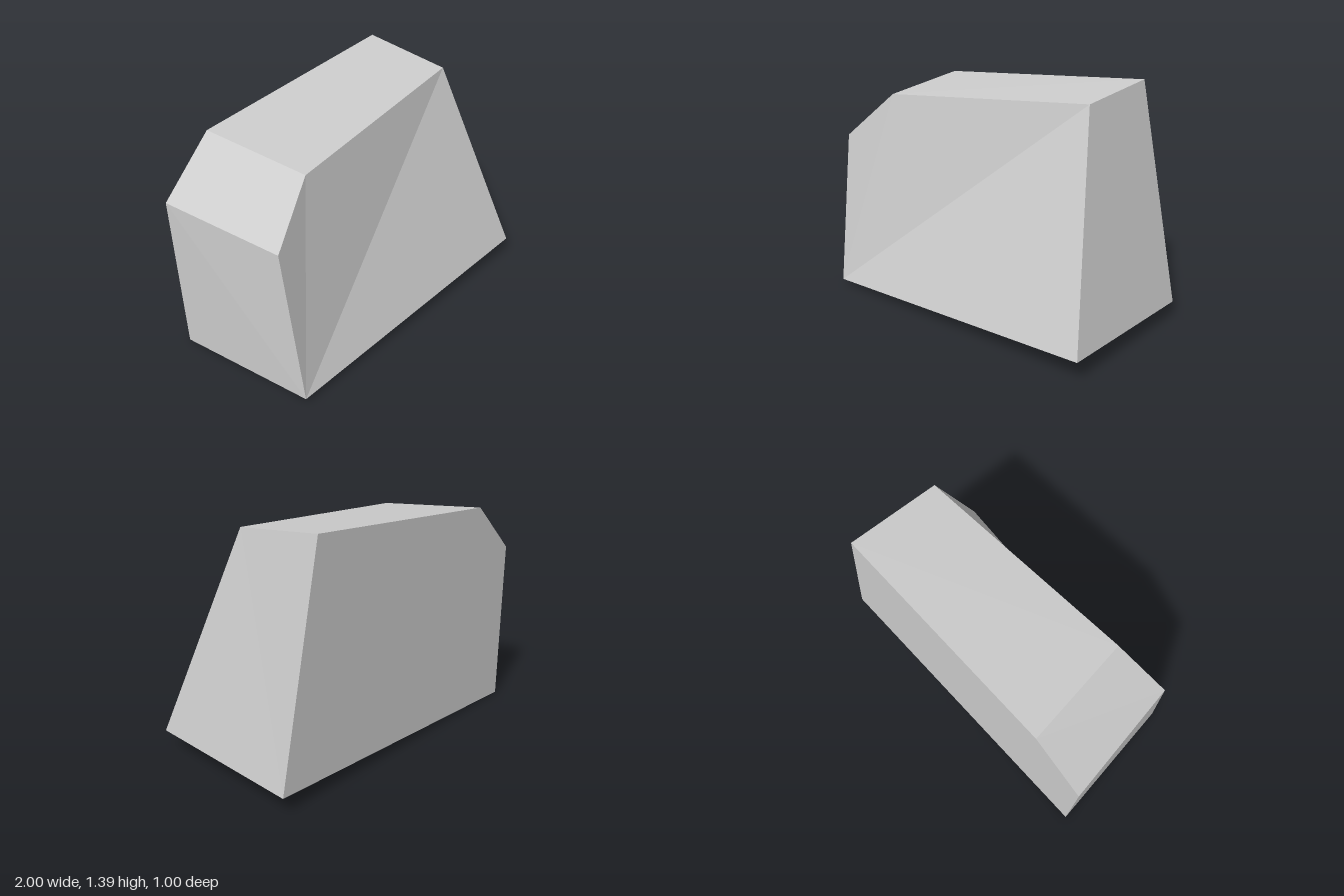
import * as THREE from 'three';

export function createModel() {
  const group = new THREE.Group();
  const grey = new THREE.MeshStandardMaterial({ color: 0xcccccc });
  grey.name = 'plain grey';

  // Matching five-sided outlines, counter-clockwise from the lower right-hand corner of the model
  const back = [[-0.985, 0, -0.5], [1, 0.097, -0.5], [0.73, 1.392, -0.5], [-0.672, 1.3, -0.5], [-1, 1, -0.5]];
  const front = [[-0.903, 0.03, 0.375], [0.96, 0.118, 0.5], [0.715, 1.336, 0.062], [-0.607, 1.25, 0.157], [-0.916, 0.97, 0.248]];

  const positions = [];
  const triangle = (a, b, c) => positions.push(...a, ...b, ...c);

  // Sloping front and flat back, as fans from the first corner
  for (let i = 1; i < front.length - 1; i++) {
    triangle(front[0], front[i], front[i + 1]);
    triangle(back[0], back[i + 1], back[i]);
  }
  // Tapering sides
  for (let i = 0; i < back.length; i++) {
    const j = (i + 1) % back.length;
    triangle(back[i], back[j], front[j]);
    triangle(back[i], front[j], front[i]);
  }

  const geometry = new THREE.BufferGeometry();
  geometry.setAttribute('position', new THREE.Float32BufferAttribute(positions, 3));
  geometry.computeVertexNormals(); // unshared corners keep every facet flat
  const block = new THREE.Mesh(geometry, grey);
  block.name = 'taperedBlock';
  group.add(block);
  return group;
}
